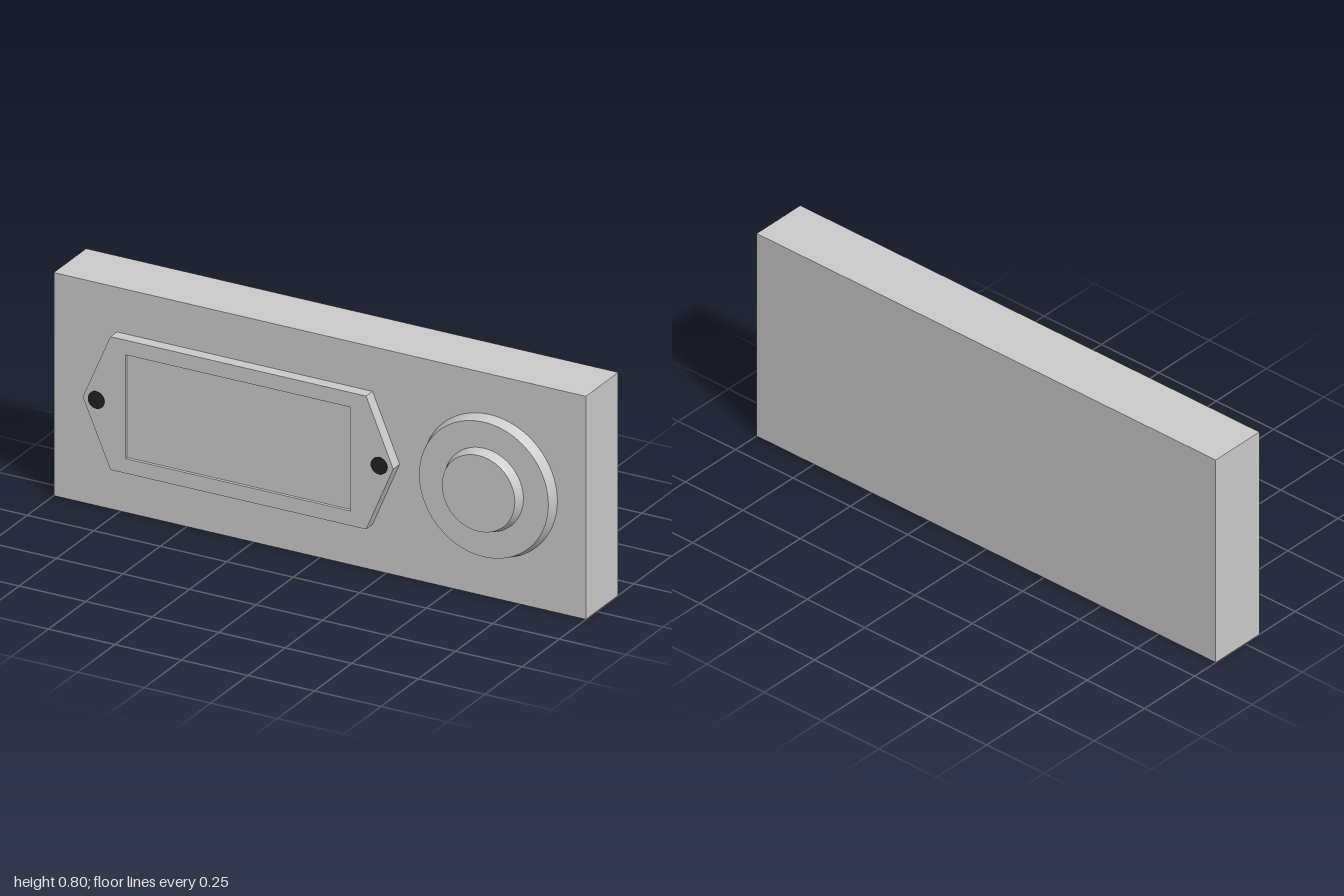
import * as THREE from 'three';

export function createModel() {
  const group = new THREE.Group();
  const grey = new THREE.MeshStandardMaterial({ color: 0xcccccc });
  const black = new THREE.MeshStandardMaterial({ color: 0x222222 });
  const midY = 0.403, faceZ = 0.072;

  const add = (name, geometry, x, y, z, material = grey) => {
    const mesh = new THREE.Mesh(geometry, material);
    mesh.name = name;
    mesh.position.set(x, y, z);
    group.add(mesh);
    return mesh;
  };
  // Round part whose axis runs along z, starting at depth z
  const addRound = (name, rFront, rBack, depth, x, z, material) => {
    const geometry = new THREE.CylinderGeometry(rFront, rBack, depth, 64);
    geometry.rotateX(Math.PI / 2);
    add(name, geometry, x, midY, z + depth / 2, material);
  };

  // Main slab
  add('body', new THREE.BoxGeometry(2, 0.804, 0.217), 0, 0.402, -0.0365);

  // Six-sided label frame with a rectangular window
  const outline = [[-0.867, 0], [-0.763, -0.24], [0.198, -0.24], [0.3, 0], [0.198, 0.24], [-0.763, 0.24]];
  const frame = new THREE.Shape(outline.map(([x, y]) => new THREE.Vector2(x, y)));
  const opening = [[-0.706, -0.187], [-0.706, 0.187], [0.14, 0.187], [0.14, -0.187]];
  frame.holes.push(new THREE.Path(opening.map(([x, y]) => new THREE.Vector2(x, y))));
  add('labelFrame', new THREE.ExtrudeGeometry(frame, { depth: 0.043, bevelEnabled: false }), 0, midY, faceZ);

  // Label panel set slightly back in the window
  add('labelPanel', new THREE.BoxGeometry(0.846, 0.374, 0.032), -0.283, midY, faceZ + 0.016);

  // Frame screws
  for (const x of [-0.816, 0.247]) addRound('screw', 0.031, 0.031, 0.045, x, faceZ, black);

  // Two-tier tapered button
  addRound('buttonBase', 0.243, 0.255, 0.039, 0.638, faceZ);
  addRound('buttonCap', 0.137, 0.149, 0.036, 0.638, faceZ + 0.039);

  return group;
}
